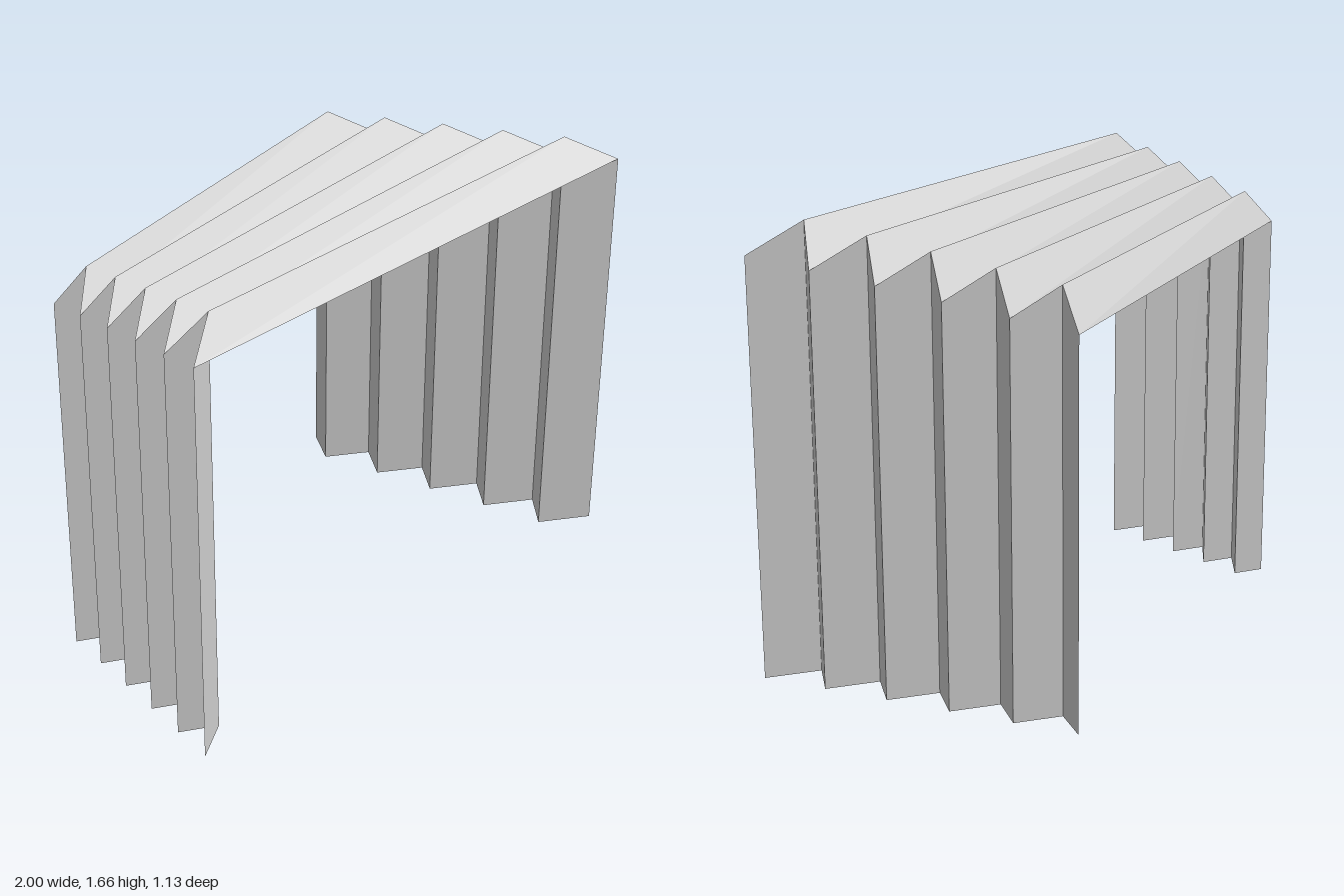
import * as THREE from 'three';

const PLEATS = 5;

// Front and back fold outlines; valleys step inwards at the walls and upwards at the roof
const outer = {
  front: { left: [-1, 0.565], right: [1, 0.565], height: 1.553 },
  back: { left: [-0.925, -0.215], right: [0.617, -0.565], height: 1.415 },
};
const inner = {
  front: { left: [-0.86, 0.48], right: [0.828, 0.455], height: 1.66 },
  back: { left: [-0.825, -0.16], right: [0.545, -0.435], height: 1.54 },
};

// One fold line: left foot, left corner, right corner, right foot
function foldLine({ front, back }, t) {
  const mix = (a, b) => THREE.MathUtils.lerp(a, b, t);
  const y = mix(front.height, back.height);
  const point = (side, h) =>
    new THREE.Vector3(mix(front[side][0], back[side][0]), h, mix(front[side][1], back[side][1]));
  return [point('left', 0), point('left', y), point('right', y), point('right', 0)];
}

// Pleated sheet between corner k and k + 1 of all fold lines
function pleatedSheet(lines, k, name, material) {
  const points = [];
  for (let i = 0; i < lines.length - 1; i++) {
    const a = lines[i][k], b = lines[i][k + 1];
    const c = lines[i + 1][k + 1], d = lines[i + 1][k];
    points.push(a, b, c, a, c, d);
  }
  const geometry = new THREE.BufferGeometry().setFromPoints(points);
  geometry.computeVertexNormals();
  const mesh = new THREE.Mesh(geometry, material);
  mesh.name = name;
  return mesh;
}

export function createModel() {
  const group = new THREE.Group();
  group.name = 'foldedArch';
  const material = new THREE.MeshStandardMaterial({
    color: 0xcccccc, flatShading: true, side: THREE.DoubleSide,
  });

  // Alternate outer and inner folds from front to back
  const lines = [];
  for (let i = 0; i <= PLEATS; i++) {
    lines.push(foldLine(outer, i / PLEATS));
    if (i < PLEATS) lines.push(foldLine(inner, i / (PLEATS - 1)));
  }

  ['rightWall', 'roof', 'leftWall'].forEach((name, k) =>
    group.add(pleatedSheet(lines, k, name, material)));
  return group;
}
